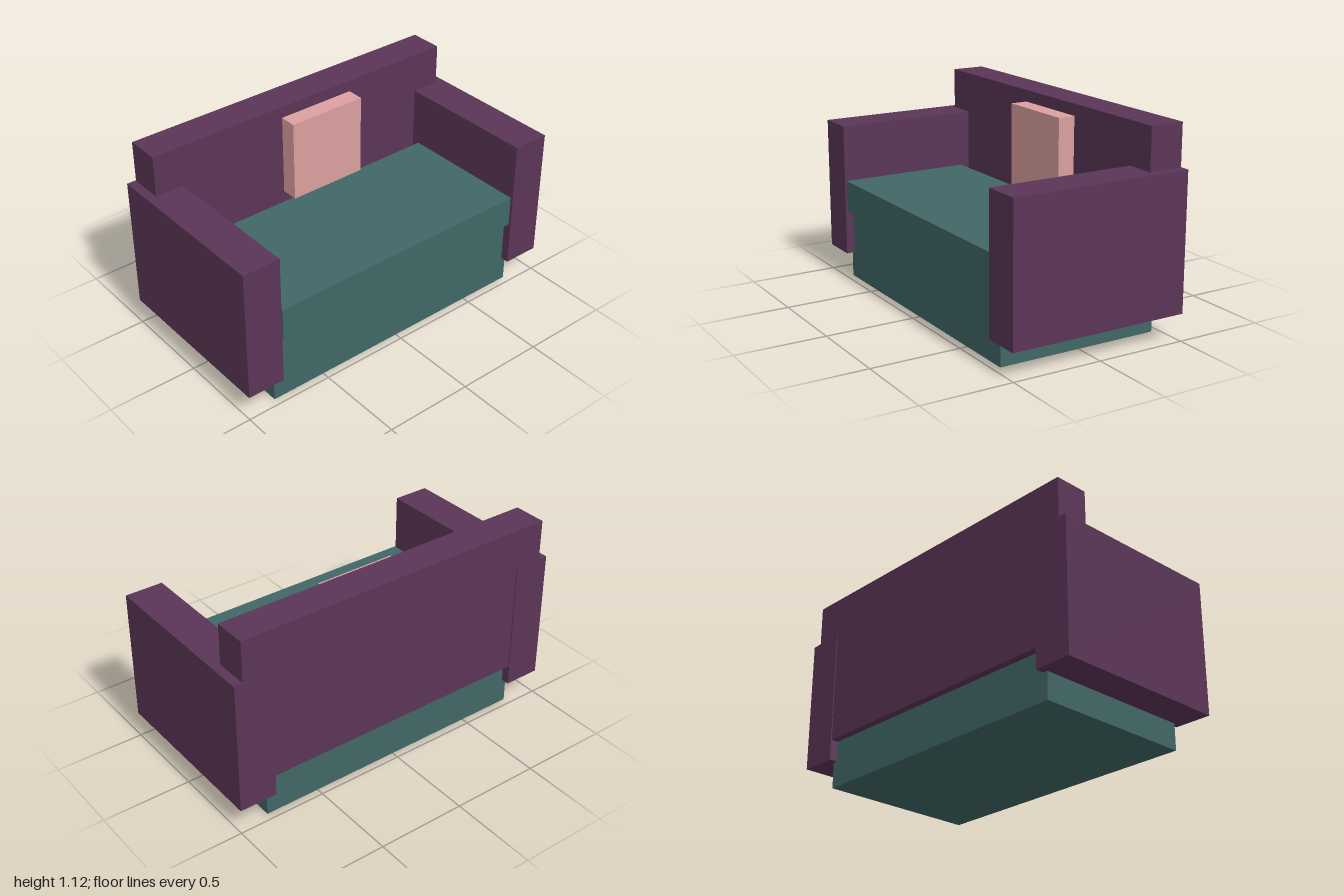
import * as THREE from 'three';

const material = (color) => new THREE.MeshStandardMaterial({ color, flatShading: true });

// Box given by its [min, max] extent on each axis
function block(name, mat, [x0, x1], [y0, y1], [z0, z1]) {
  const mesh = new THREE.Mesh(new THREE.BoxGeometry(x1 - x0, y1 - y0, z1 - z0), mat);
  mesh.position.set((x0 + x1) / 2, (y0 + y1) / 2, (z0 + z1) / 2);
  mesh.name = name;
  return mesh;
}

export function createModel() {
  const sofa = new THREE.Group();
  sofa.name = 'sofa';
  const purple = material(0x5b3557);
  const teal = material(0x406766);
  const pink = material(0xdca0a0);

  // Plinth and seat
  sofa.add(block('base', teal, [-0.815, 0.815], [0, 0.405], [-0.458, 0.458]));
  sofa.add(block('seatCushion', teal, [-0.778, 0.778], [0.405, 0.58], [-0.252, 0.5]));

  // Backrest, overlapping the rear of both arms
  sofa.add(block('backrest', purple, [-0.95, 0.95], [0.262, 1.125], [-0.5, -0.31]));

  // Mirrored arms
  sofa.add(block('leftArm', purple, [0.788, 1], [0.147, 0.895], [-0.505, 0.505]));
  sofa.add(block('rightArm', purple, [-1, -0.788], [0.147, 0.895], [-0.505, 0.505]));

  // Loose pillow, off centre
  sofa.add(block('pillow', pink, [-0.155, 0.305], [0.6, 1.06], [-0.315, -0.213]));

  return sofa;
}
